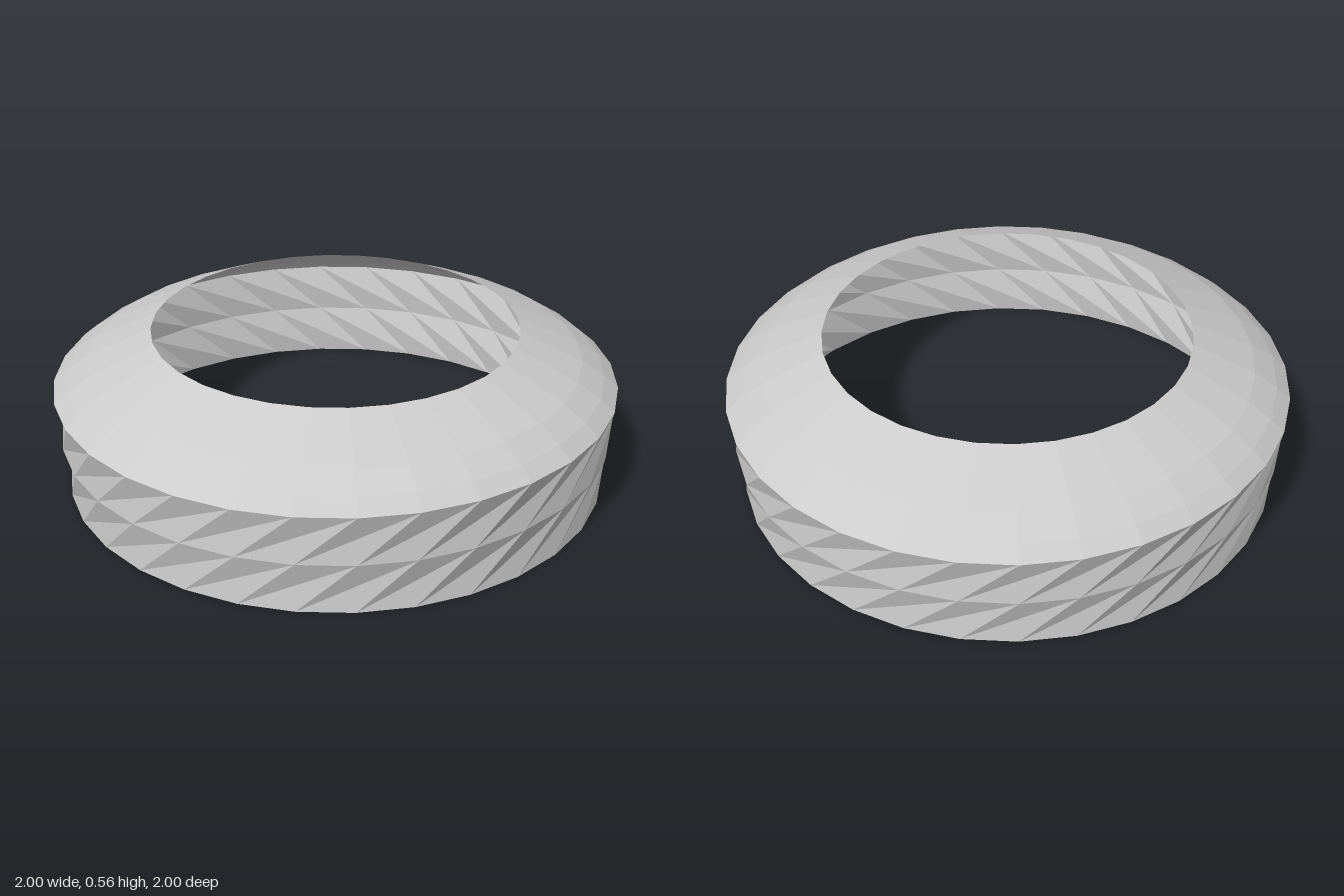
import * as THREE from 'three';

const SIDES = 32;

// Loft rings of [radius, height]; skew leans the facets sideways from row to row.
function ringShell(name, profile, skew) {
  const points = [], index = [];
  for (const [r, y] of profile) {
    for (let i = 0; i < SIDES; i++) {
      const a = (i / SIDES) * Math.PI * 2;
      points.push(new THREE.Vector3(r * Math.sin(a), y, r * Math.cos(a)));
    }
  }
  for (let row = 0; row < profile.length - 1; row++) {
    const at = (k, i) => (row + k) * SIDES + (i % SIDES);
    for (let i = 0; i < SIDES; i++) {
      const a = at(0, i), b = at(0, i + 1);
      const c = at(1, i + 1 + skew), d = at(1, i + skew);
      index.push(a, b, c, a, c, d);
    }
  }
  const geometry = new THREE.BufferGeometry().setFromPoints(points);
  geometry.setIndex(index);
  geometry.computeVertexNormals();
  const mesh = new THREE.Mesh(geometry, new THREE.MeshStandardMaterial({
    color: 0xcccccc, flatShading: true, side: THREE.DoubleSide,
  }));
  mesh.name = name;
  return mesh;
}

export function createModel() {
  const group = new THREE.Group();
  group.name = 'openRing';

  // Slightly flared wall, open underneath
  group.add(ringShell('sideWall', [[0.967, 0], [0.984, 0.185], [1, 0.365]], 1));

  // Rounded shoulder rising to the round opening
  group.add(ringShell('shoulder', [[1, 0.365], [0.95, 0.407], [0.87, 0.458], [0.65, 0.555]], 0));

  return group;
}
